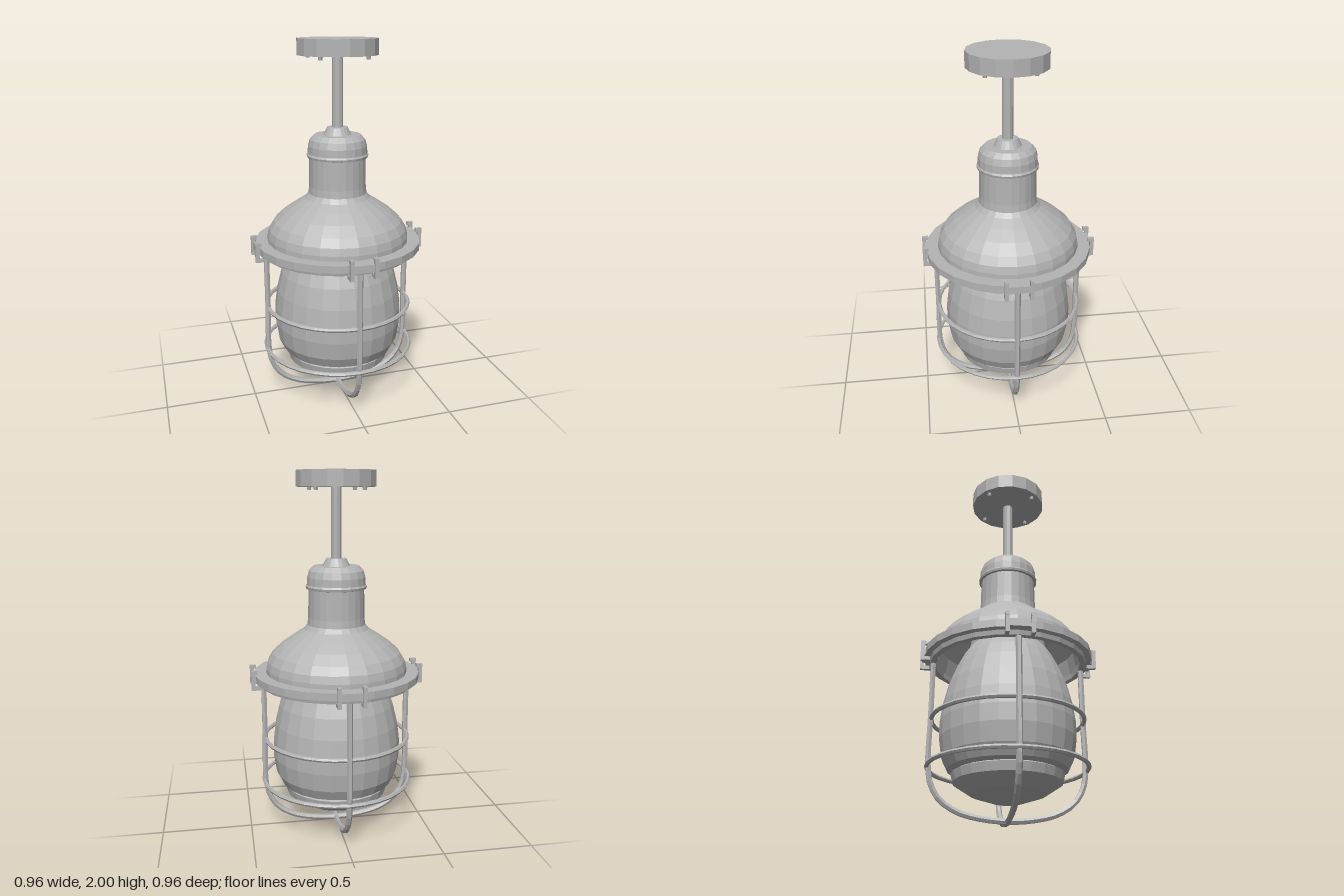
import * as THREE from 'three';

const metal = new THREE.MeshStandardMaterial({ color: 0xb4b4b4, flatShading: true, side: THREE.DoubleSide });
metal.name = 'plain grey';

export function createModel() {
  const model = new THREE.Group();
  model.name = 'cagedPendantLamp';

  function add(name, geometry, x = 0, y = 0, z = 0, parent = model) {
    const mesh = new THREE.Mesh(geometry, metal);
    mesh.name = name;
    mesh.position.set(x, y, z);
    parent.add(mesh);
    return mesh;
  }
  // Turned part from [radius, height] pairs
  const lathe = (name, profile, sides) =>
    add(name, new THREE.LatheGeometry(profile.map(([r, y]) => new THREE.Vector2(r, y)), sides));

  // Ceiling mount with four small screws underneath
  add('ceilingMount', new THREE.CylinderGeometry(0.215, 0.215, 0.085, 16), 0, 1.9575, 0);
  for (let i = 0; i < 4; i++) {
    const a = Math.PI / 4 + i * Math.PI / 2;
    add('mountScrew', new THREE.CylinderGeometry(0.014, 0.01, 0.02, 6), 0.18 * Math.cos(a), 1.907, 0.18 * Math.sin(a));
  }
  add('rod', new THREE.CylinderGeometry(0.029, 0.029, 0.4, 10), 0, 1.73, 0);

  // Collar, cap and the rolled band beneath it
  lathe('cap', [
    [0.029, 1.54], [0.055, 1.54], [0.07, 1.51], [0.075, 1.5], [0.125, 1.5],
    [0.15, 1.475], [0.16, 1.44], [0.162, 1.4], [0.168, 1.39], [0.165, 1.378], [0.152, 1.375],
  ].reverse(), 20);

  // Neck and flared shade, open underneath
  lathe('shade', [
    [0.395, 0.87], [0.392, 0.94], [0.382, 0.98], [0.355, 1.025], [0.3, 1.075],
    [0.235, 1.12], [0.18, 1.155], [0.16, 1.18], [0.156, 1.22], [0.153, 1.38],
  ], 24);
  lathe('shadeLining', [[0.385, 0.87], [0.37, 0.96], [0.29, 1.06], [0.16, 1.14], [0, 1.15]], 24);

  // Stepped clamp ring
  lathe('clampRing', [
    [0.395, 0.848], [0.425, 0.848], [0.43, 0.872], [0.46, 0.875], [0.46, 0.915], [0.39, 0.915], [0.395, 0.848],
  ], 24);

  // Glass jar, with a stepped lens at the bottom
  lathe('glass', [
    [0, 0.105], [0.08, 0.11], [0.2, 0.15], [0.285, 0.205], [0.295, 0.25], [0.275, 0.26], [0.315, 0.27],
    [0.345, 0.33], [0.36, 0.43], [0.36, 0.52], [0.347, 0.62], [0.32, 0.73],
    [0.285, 0.82], [0.25, 0.89], [0.21, 0.95], [0.19, 1.1],
  ], 24);

  // Cage hoops
  for (const [radius, y] of [[0.405, 0.535], [0.418, 0.283]]) {
    add('cageHoop', new THREE.TorusGeometry(radius, 0.012, 6, 32).rotateX(Math.PI / 2), 0, y, 0);
  }

  // Two crossing cage wires, each running down, under and up again
  const half = [[0.408, 0.88], [0.408, 0.55], [0.41, 0.3], [0.395, 0.2], [0.345, 0.115], [0.25, 0.055], [0.13, 0.026]];
  const path = [...half, [0, 0.016], ...half.map(([x, y]) => [-x, y]).reverse()];
  const wire = new THREE.CatmullRomCurve3(path.map(([x, y]) => new THREE.Vector3(x, y, 0)));
  for (let i = 0; i < 2; i++) {
    add('cageWire', new THREE.TubeGeometry(wire, 48, 0.016, 6)).rotation.y = i * Math.PI / 2;
  }

  // Paired clips on a flat tab at each quarter of the ring
  for (let i = 0; i < 4; i++) {
    const clamp = new THREE.Group();
    clamp.name = 'clamp';
    clamp.rotation.y = i * Math.PI / 2;
    add('tab', new THREE.BoxGeometry(0.12, 0.04, 0.05), 0, 0.895, 0.444, clamp);
    for (const x of [-0.065, 0.065]) {
      add('clip', new THREE.BoxGeometry(0.02, 0.1, 0.022), x, 0.89, 0.468, clamp);
      add('clipTop', new THREE.BoxGeometry(0.02, 0.02, 0.034), x, 0.938, 0.463, clamp);
      add('clipFoot', new THREE.BoxGeometry(0.02, 0.02, 0.05), x, 0.848, 0.452, clamp);
    }
    model.add(clamp);
  }
  return model;
}
